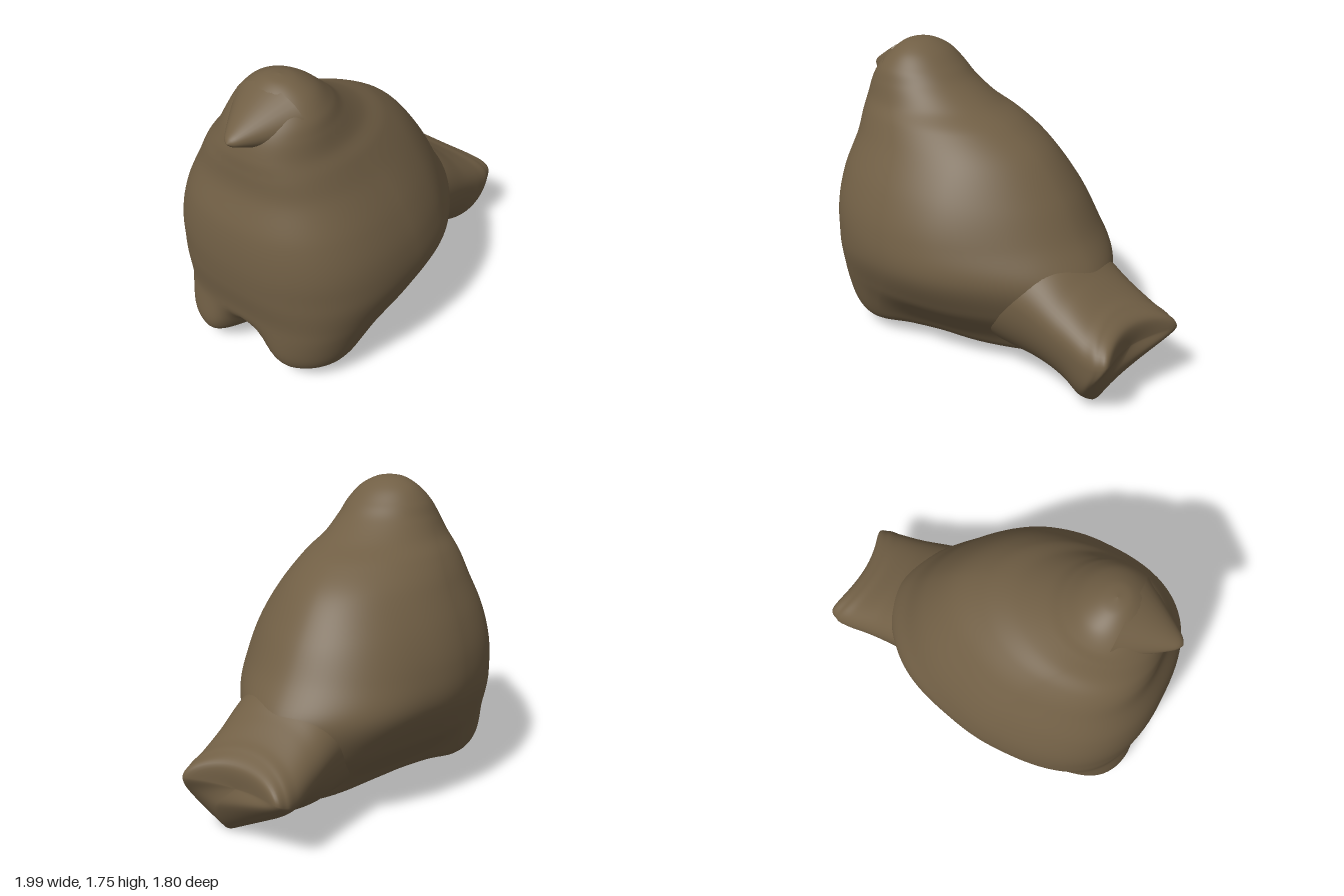
import * as THREE from 'three';

const { smoothstep, lerp } = THREE.MathUtils;

// Catmull-Rom blend of neighbouring rows at t in 0..1
function sampleRow(rows, t) {
  const n = rows.length - 1;
  const i = Math.min(Math.floor(t * n), n - 1);
  const f = t * n - i;
  const at = k => rows[Math.max(0, Math.min(n, k))];
  const [a, b, c, d] = [at(i - 1), at(i), at(i + 1), at(i + 2)];
  return b.map((p, k) => p + 0.5 * f * (c[k] - a[k]
    + f * (2 * a[k] - 5 * p + 4 * c[k] - d[k]
    + f * (3 * (p - c[k]) + d[k] - a[k]))));
}

// Closed rings of vertices, one per sampled row
function loft(rows, point, rings, sides) {
  const pos = [], index = [];
  for (let i = 0; i <= rings; i++) {
    const row = sampleRow(rows, i / rings);
    for (let j = 0; j < sides; j++) {
      pos.push(...point(row, (j / sides) * Math.PI * 2));
      if (i === rings) continue;
      const a = i * sides + j, b = i * sides + (j + 1) % sides;
      index.push(a, a + sides, b, b, a + sides, b + sides);
    }
  }
  const g = new THREE.BufferGeometry();
  g.setAttribute('position', new THREE.Float32BufferAttribute(pos, 3));
  g.setIndex(index);
  g.computeVertexNormals();
  return g;
}

const signedPow = (v, p) => Math.sign(v) * Math.pow(Math.abs(v), p);

// Body and head: height, front, back, half width, place of the widest point
const bodyRows = [
  [0.09, 0.30, 0.30, 0, 0.7],
  [0.085, 0.74, -0.40, 0.34, 0.72],
  [0.11, 0.89, -0.58, 0.44, 0.74],
  [0.20, 0.96, -0.66, 0.51, 0.74],
  [0.40, 0.96, -0.72, 0.60, 0.65],
  [0.60, 0.99, -0.70, 0.67, 0.56],
  [0.80, 1.00, -0.57, 0.66, 0.53],
  [1.00, 0.98, -0.45, 0.595, 0.52],
  [1.20, 0.92, -0.29, 0.49, 0.52],
  [1.33, 0.905, -0.11, 0.41, 0.52],
  [1.42, 0.895, 0.08, 0.34, 0.52],
  [1.52, 0.865, 0.24, 0.29, 0.52],
  [1.60, 0.81, 0.33, 0.25, 0.52],
  [1.68, 0.73, 0.42, 0.18, 0.5],
  [1.73, 0.66, 0.51, 0.09, 0.5],
  [1.745, 0.59, 0.59, 0, 0.5],
];

function bodyPoint([height, front, back, half, widest], t) {
  const mid = lerp(back, front, widest);
  const c = Math.cos(t), s = Math.sin(t);
  // blunt breast, tapered rear, round head
  const headward = smoothstep(height, 1.25, 1.6);
  const n = s > 0
    ? lerp(lerp(3, 2.6, smoothstep(height, 0.3, 0.7)), 2, headward)
    : lerp(lerp(1.6, 1.85, smoothstep(height, 0.1, 0.7)), 2, headward);
  let x = half * signedPow(c, 2 / n);
  let y = height;
  let z = mid + (s > 0 ? front - mid : mid - back) * signedPow(s, 2 / n);
  const low = 1 - smoothstep(height, 0.1, 0.4);
  // hollow between the feet, right foot a little ahead, flanks tucked in behind
  const hollow = Math.exp(-((x / 0.13) ** 2)) * low;
  z -= 0.2 * hollow * smoothstep(z, 0.2, 0.7) + 0.1 * x * low * smoothstep(z, 0.2, 0.7);
  y += 0.06 * hollow * smoothstep(z, 0.1, 0.6);
  y -= 0.05 * smoothstep(z, 0.35, 0.7) * smoothstep(Math.abs(x), 0.12, 0.3) * (1 - smoothstep(height, 0.09, 0.35));
  x *= 1 - 0.2 * low * (1 - smoothstep(z, 0.1, 0.6));
  // rump and head lean slightly to either side
  x += 0.04 * (smoothstep(height, 1.2, 1.6) - smoothstep(-z, 0, 0.5));
  return [x, y, z];
}

// Tail: position along the bird, half width, top, bottom
const tailRows = [
  [0.10, 0.30, 0.72, 0.15],
  [-0.20, 0.40, 0.82, 0.10],
  [-0.50, 0.36, 0.77, 0.07],
  [-0.70, 0.335, 0.63, 0.03],
  [-0.82, 0.33, 0.55, 0.00],
  [-0.90, 0.32, 0.51, 0.05],
  [-0.98, 0.26, 0.45, 0.20],
  [-0.98, 0, 0.33, 0.33],
];

function tailPoint([u, half, top, bottom], t) {
  const c = Math.cos(t), s = Math.sin(t);
  const mid = lerp(bottom, top, 0.6);
  const end = 1 - smoothstep(u, -0.9, -0.5);
  // rounded top, V-shaped keel
  const keel = lerp(-s, 1 - Math.abs(c), 0.6 * end);
  const y = s > 0 ? mid + (top - mid) * s : mid - (mid - bottom) * keel;
  const x = half * c * (c < 0 ? 1 + 0.08 * end : 1) + (s < 0 ? 0.16 * end * s * s * Math.min(1, half / 0.3) : 0);
  // corners sweep back to make the forked end
  return [x, y, u - 0.085 * end * (half * c / 0.29) ** 2];
}

export function createModel() {
  const brown = new THREE.MeshStandardMaterial({ color: 0x715f45 });
  brown.name = 'earthBrown';
  const bird = new THREE.Group();
  bird.name = 'bird';
  const add = (name, geometry) => {
    const mesh = new THREE.Mesh(geometry, brown);
    mesh.name = name;
    bird.add(mesh);
    return mesh;
  };

  add('bodyHeadAndFeet', loft(bodyRows, bodyPoint, 120, 112));
  add('tail', loft(tailRows, tailPoint, 56, 64));

  // Short pointed beak flaring into the face
  const profile = [[0.24, 0], [0.18, 0.09], [0.125, 0.17], [0.075, 0.24], [0.035, 0.29], [0, 0.31]]
    .map(p => new THREE.Vector2(...p));
  const beak = add('beak', new THREE.LatheGeometry(new THREE.SplineCurve(profile).getPoints(16), 32));
  beak.rotation.x = Math.PI / 2 + 0.06;
  beak.scale.z = 0.7;
  beak.position.set(0.04, 1.55, 0.665);

  // Turn the bird diagonally
  bird.rotation.y = -Math.atan2(0.8, 0.6);
  const model = new THREE.Group();
  model.name = 'model';
  model.add(bird);
  return model;
}
